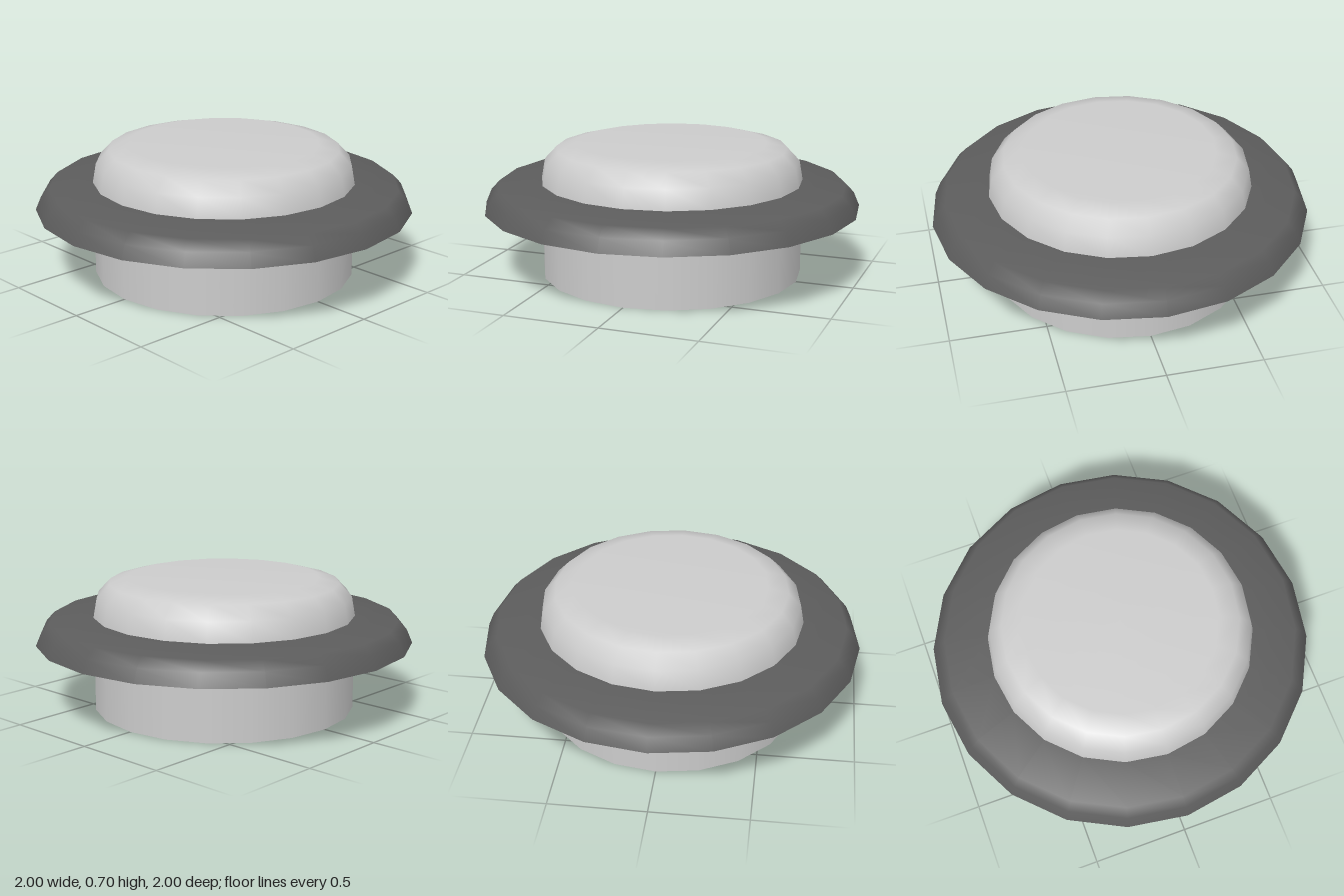
import * as THREE from 'three';

const SIDES = 20;

// Revolves a list of [radius, height] points, running upward, about the y axis
function turned(name, points, color, side = THREE.FrontSide) {
  const profile = points.map(([r, y]) => new THREE.Vector2(r, y));
  const mesh = new THREE.Mesh(
    new THREE.LatheGeometry(profile, SIDES),
    new THREE.MeshStandardMaterial({ color, side })
  );
  mesh.name = name;
  return mesh;
}

export function createModel() {
  const model = new THREE.Group();
  model.name = 'pushButton';
  const grey = 0xcccccc, dark = 0x5c5c5c;

  // Open, thin-walled collar below the flange
  model.add(turned('collar', [[0.695, 0], [0.695, 0.365]], grey, THREE.DoubleSide));

  // Wide flange: flat closed underside and a rounded, gently sloping upper side
  const flange = new THREE.Group();
  flange.name = 'flange';
  flange.add(
    turned('flangeUnderside', [[0, 0.365], [1, 0.365]], dark),
    turned('flangeTop', [[1, 0.365], [0.97, 0.435], [0.925, 0.483], [0.7, 0.503], [0.68, 0.503]], dark)
  );
  model.add(flange);

  // Raised cap with a rounded shoulder and flat top
  model.add(turned('cap', [[0.697, 0.5], [0.678, 0.605], [0.612, 0.675], [0.505, 0.703], [0, 0.703]], grey));

  return model;
}
